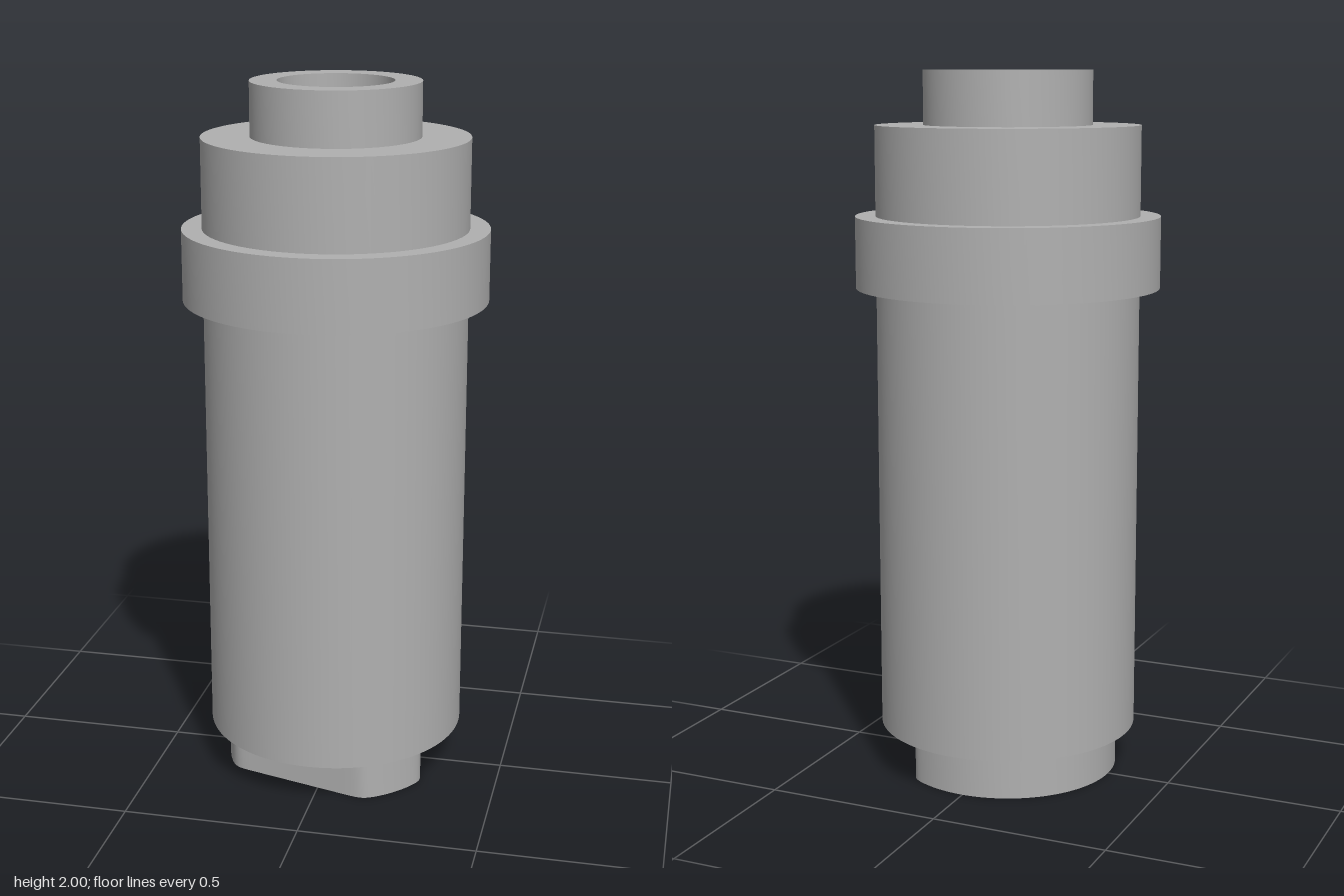
import * as THREE from 'three';
import { toCreasedNormals } from 'three/addons/utils/BufferGeometryUtils.js';

const BORE = 0.16;
const FOOT_HEIGHT = 0.13;
const CREASE = Math.PI / 6;

// Turned part from a closed profile of [radius, height] pairs
function turned(profile, material, name) {
  const points = profile.map(([r, y]) => new THREE.Vector2(r, y));
  const geometry = toCreasedNormals(new THREE.LatheGeometry(points, 96), CREASE);
  const mesh = new THREE.Mesh(geometry, material);
  mesh.name = name;
  return mesh;
}

// Foot outline: a circle with two flats narrowing towards the front left corner
function footOutline() {
  const radius = 0.317, flat = 0.24, steps = 144, points = [];
  for (let i = 0; i < steps; i++) {
    const angle = (i / steps) * Math.PI * 2;
    const fromTip = Math.abs(Math.atan2(Math.sin(angle), Math.cos(angle)));
    const c = Math.cos(fromTip - Math.PI / 3);
    const cut = c > 0.1 ? flat / c : 9;
    // softened minimum rounds the corners between flats and arc
    const r = Math.pow(Math.pow(radius, -40) + Math.pow(cut, -40), -1 / 40);
    const a = angle - Math.PI / 4;
    points.push(new THREE.Vector2(r * Math.cos(a), r * Math.sin(a)));
  }
  return new THREE.Shape(points);
}

export function createModel() {
  const group = new THREE.Group();
  group.name = 'steppedSleeve';
  const metal = new THREE.MeshStandardMaterial({ color: 0xb0b0b0 });
  metal.name = 'grey metal';

  // Main barrel with collar, top neck and blind bores at both ends
  group.add(turned([
    [0, 0.4], [BORE, 0.4], [BORE, FOOT_HEIGHT],
    [0.37, FOOT_HEIGHT], [0.37, 1.4],
    [0.427, 1.4], [0.427, 1.6],
    [0.37, 1.6], [0.37, 1.85],
    [0.235, 1.85], [0.235, 2],
    [BORE, 2], [BORE, 1.6], [0, 1.6],
  ], metal, 'barrel'));

  // Keyed foot with a round hole
  const shape = footOutline();
  const hole = new THREE.Path();
  hole.absarc(0, 0, BORE, 0, Math.PI * 2, true);
  shape.holes.push(hole);
  const geometry = new THREE.ExtrudeGeometry(shape, {
    depth: FOOT_HEIGHT, bevelEnabled: false, curveSegments: 48,
  });
  geometry.rotateX(-Math.PI / 2);
  const foot = new THREE.Mesh(toCreasedNormals(geometry, CREASE), metal);
  foot.name = 'foot';
  group.add(foot);

  return group;
}
